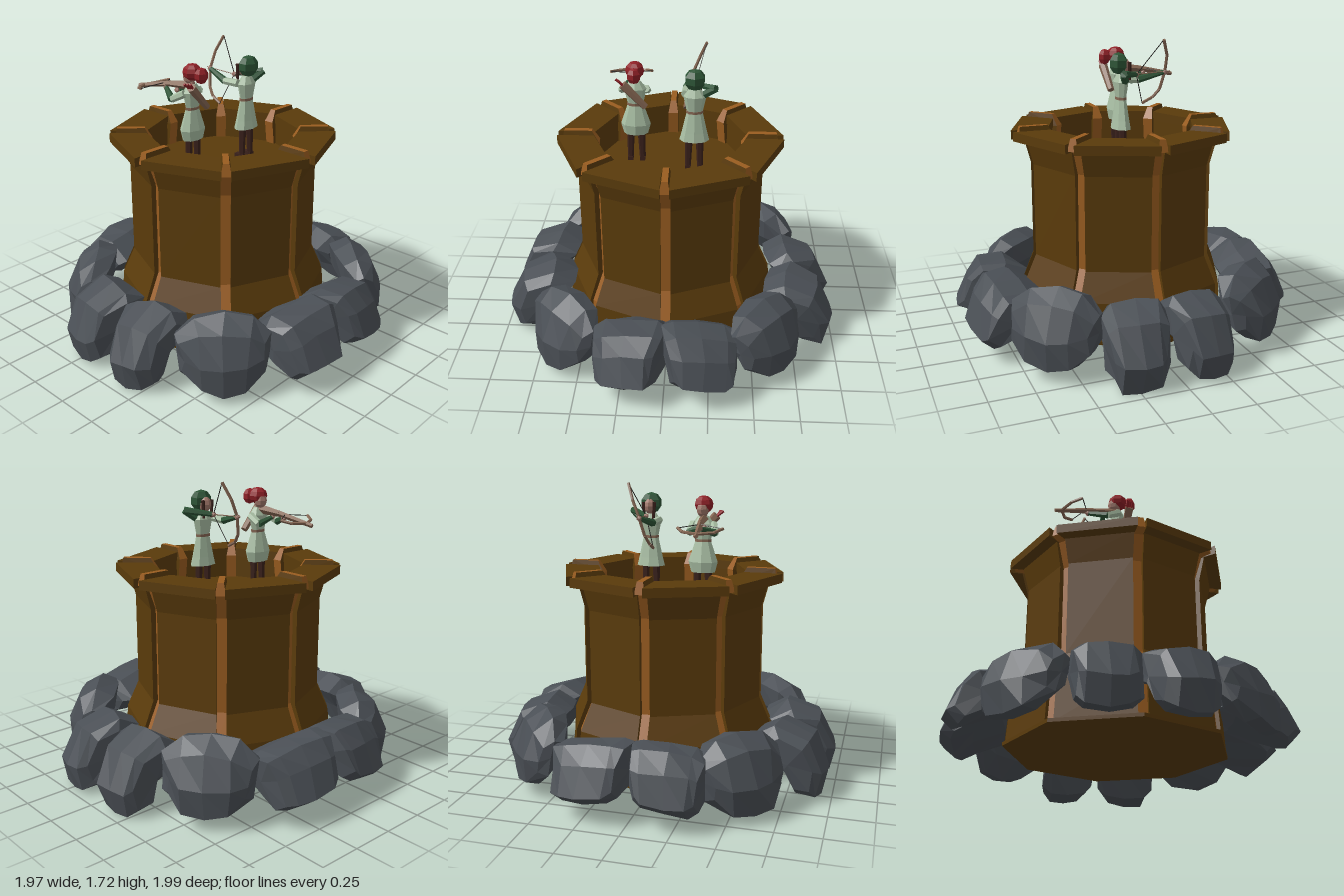
import * as THREE from 'three';

const mat = (name, color) => {
  const m = new THREE.MeshStandardMaterial({ color });
  m.name = name;
  return m;
};

export function createModel() {
  const M = {
    wall: mat('dark timber', 0x5a3b0b), post: mat('light timber', 0x9a5d20), rock: mat('slate', 0x4a4f55),
    red: mat('red hair', 0x8f2026), green: mat('forest green', 0x2d5436), pale: mat('pale cloth', 0xa9bfa4),
    leather: mat('dark leather', 0x3a211b), wood: mat('bow wood', 0x866753), skin: mat('skin', 0xa0776a),
    string: mat('string', 0x22201f),
  };
  const model = new THREE.Group();
  const V = (x, y, z) => new THREE.Vector3(x, y, z);

  // Faceted mesh
  const add = (parent, name, geo, material) => {
    const g = geo.index ? geo.toNonIndexed() : geo;
    g.computeVertexNormals();
    const mesh = new THREE.Mesh(g, material);
    mesh.name = name;
    parent.add(mesh);
    return mesh;
  };
  const group = (name) => {
    const g = new THREE.Group();
    g.name = name;
    model.add(g);
    return g;
  };
  // Radial outline (radius, height) with thickness set per point by a rule
  const radial = (outline, halfWidth) => {
    const s = new THREE.Shape(outline.map(([x, y]) => new THREE.Vector2(x, y)));
    const g = new THREE.ExtrudeGeometry(s, { depth: 1, bevelEnabled: false });
    const p = g.attributes.position;
    for (let i = 0; i < p.count; i++) {
      p.setZ(i, (p.getZ(i) > 0.5 ? 1 : -1) * halfWidth(p.getX(i), p.getY(i)));
    }
    return g;
  };
  // Tapered bar between two points
  const bar = (parent, name, a, b, ra, rb, material, sides = 6) => {
    const d = b.clone().sub(a);
    const g = new THREE.CylinderGeometry(rb, ra, d.length(), sides);
    g.applyQuaternion(new THREE.Quaternion().setFromUnitVectors(V(0, 1, 0), d.normalize()));
    g.translate(...a.clone().add(b).multiplyScalar(0.5).toArray());
    return add(parent, name, g, material);
  };
  const chain = (parent, name, pts, r, material, sides) => {
    for (let i = 1; i < pts.length; i++) bar(parent, name, pts[i - 1], pts[i], r, r, material, sides);
  };

  // Octagonal tower: base, sunken floor, thick wall panels, rim slabs and recessed corner posts
  const tower = group('tower');
  const disc = (name, r, y) => add(tower, name, new THREE.CylinderGeometry(r, r, 0.02, 8).translate(0, y, 0), M.wall);
  disc('base', 0.64, 0.1);
  disc('floor', 0.465, 1.03);
  const panel = [[0.42, 0.095], [0.59, 0.095], [0.575, 0.33], [0.51, 0.49], [0.51, 1.03], [0.547, 1.18], [0.42, 1.18]];
  const rim = [[0.415, 1.17], [0.613, 1.17], [0.613, 1.222], [0.415, 1.222]];
  const post = [[0.45, 0.1], [0.605, 0.1], [0.585, 0.33], [0.508, 0.49], [0.508, 1.03], [0.56, 1.17],
    [0.625, 1.18], [0.61, 1.248], [0.45, 1.248], [0.41, 1.18], [0.43, 1.02], [0.45, 1.0]];
  const inset = (gap) => (a) => a * Math.tan(Math.PI / 8) - gap;
  for (let i = 0; i < 8; i++) {
    const mid = (i + 0.5) * Math.PI / 4;
    add(tower, 'wallPanel', radial(panel, inset(0.03)).rotateY(mid), M.wall);
    add(tower, 'rimSlab', radial(rim, inset(0.027)).rotateY(mid), M.wall);
    const g = radial(post, (r, y) => (y > 1.24 ? 0.017 : 0.03)).rotateY(i * Math.PI / 4);
    add(tower, 'cornerPost', g, [M.wall, M.post]);
  }

  // Ring of leaning boulders, each a curved slab lofted sideways
  let seed = 7;
  const rnd = () => (seed = (seed * 16807) % 2147483647) / 2147483647 - 0.5;
  const kinds = {
    // Steep slabs at front and back
    slab: {
      pts: [[-0.2, 0.36], [-0.07, 0.43], [0.12, 0.365], [0.215, 0.17], [0.18, 0.02], [0.06, 0.04], [0, 0.2], [-0.14, 0.26]],
      stations: [[-1, 0.7], [-0.72, 0.94], [0, 1], [0.72, 0.94], [1, 0.7]],
    },
    // Raised slabs on the two sides
    arch: {
      pts: [[-0.23, 0.32], [-0.08, 0.415], [0.06, 0.415], [0.14, 0.32], [0.205, 0.17], [0.13, 0.11], [0.01, 0.17], [-0.16, 0.24]],
      stations: [[-1, 0.8], [-0.72, 0.96], [0, 1], [0.72, 0.96], [1, 0.8]],
    },
    // Pointed lumps at the diagonals
    lump: {
      pts: [[-0.14, 0.42], [-0.04, 0.46], [0.07, 0.39], [0.15, 0.22], [0.14, 0.06], [0.05, 0.05], [-0.05, 0.15], [-0.13, 0.28]],
      stations: [[-1, 0.48], [-0.6, 0.9], [0, 1.02], [0.6, 0.9], [1, 0.48]],
    },
  };
  const boulder = ({ pts, stations }, half, roll) => {
    const n = pts.length, pos = [], idx = [];
    const cr = pts.reduce((s, p) => s + p[0], 0) / n, cy = pts.reduce((s, p) => s + p[1], 0) / n;
    for (const [u, k] of stations) {
      for (const [r, y] of pts) {
        pos.push(cr + (r - cr) * k + rnd() * 0.02, cy + (y - cy) * k + u * half * roll + rnd() * 0.02,
          u * half * (1 - Math.max(0, r) * 1.1) + rnd() * 0.025);
      }
    }
    for (let s = 0; s < stations.length - 1; s++) {
      for (let j = 0; j < n; j++) {
        const a = s * n + j, b = s * n + (j + 1) % n;
        idx.push(a, a + n, b, b, a + n, b + n);
      }
    }
    // End caps
    const last = (stations.length - 1) * n, c = pos.length / 3;
    pos.push(cr, cy - half * roll, -half, cr, cy + half * roll, half);
    for (let j = 0; j < n; j++) {
      const k = (j + 1) % n;
      idx.push(c, j, k, c + 1, last + k, last + j);
    }
    const g = new THREE.BufferGeometry();
    g.setAttribute('position', new THREE.Float32BufferAttribute(pos, 3));
    g.setIndex(idx);
    return g;
  };
  const rocks = group('boulders');
  // kind, x, y, z, facing angle in degrees, half width, sideways roll
  const places = [
    ['slab', -0.145, -0.005, -0.78, 97, 0.17, 0.05], ['slab', 0.21, -0.005, -0.775, 80, 0.175, -0.05],
    ['slab', 0.15, 0, 0.765, -82, 0.175, 0], ['slab', -0.215, 0, 0.765, -97, 0.175, 0],
    ['arch', 0.77, 0, -0.2, 8, 0.205, 0.14], ['arch', 0.77, 0.005, 0.195, -8, 0.205, -0.1],
    ['arch', -0.77, 0, 0.195, 188, 0.205, 0.12], ['arch', -0.77, 0, -0.215, 172, 0.22, -0.12],
    ['lump', 0.59, 0.025, -0.575, 51, 0.25, 0], ['lump', -0.55, 0.025, -0.615, 127, 0.25, 0],
    ['lump', 0.55, 0, 0.58, -46, 0.25, 0], ['lump', -0.595, 0, 0.545, -136, 0.25, 0],
  ];
  for (const [kind, x, y, z, yaw, half, roll] of places) {
    const rock = add(rocks, 'boulder', boulder(kinds[kind], half, roll), M.rock);
    rock.position.set(x, y, z);
    rock.rotation.y = yaw * Math.PI / 180;
  }

  // Shared archer body, facing -x
  const archerBody = (name, x, z, hemY, hem, flare) => {
    const g = group(name);
    for (const s of [-1, 1]) {
      bar(g, 'leg', V(x, 1.04, z + s * 0.035), V(x, 1.27, z + s * 0.03), 0.016, 0.024, M.leather);
      add(g, 'boot', new THREE.BoxGeometry(0.06, 0.025, 0.03).translate(x - 0.014, 1.053, z + s * 0.035), M.leather);
    }
    const tube = (part, y0, y1, r0, r1, m) =>
      add(g, part, new THREE.CylinderGeometry(r1, r0, y1 - y0, 8).scale(0.64, 1, 1).translate(x, (y0 + y1) / 2, z), m);
    tube('robeHem', hemY, 1.275, hem, flare, M.pale);
    tube('robe', 1.275, 1.395, flare, 0.045, M.pale);
    tube('belt', 1.39, 1.405, 0.048, 0.048, M.wood);
    tube('tunic', 1.4, 1.49, 0.045, 0.064, M.pale);
    tube('shoulders', 1.49, 1.535, 0.064, 0.032, M.pale);
    bar(g, 'neck', V(x, 1.52, z), V(x - 0.005, 1.56, z), 0.018, 0.018, M.skin);
    add(g, 'head', new THREE.SphereGeometry(0.04, 8, 6).scale(1, 1.15, 0.9).translate(x - 0.018, 1.575, z), M.skin);
    return g;
  };
  const arm = (g, a, b, c, upper) => {
    bar(g, 'upperArm', a, b, 0.023, 0.021, upper);
    bar(g, 'forearm', b, c, 0.022, 0.013, M.green);
    add(g, 'hand', new THREE.IcosahedronGeometry(0.017).translate(c.x, c.y, c.z), M.skin);
  };

  // Hooded archer with a longbow
  const hooded = archerBody('hoodedArcher', 0.055, -0.14, 1.225, 0.085, 0.072);
  add(hooded, 'hood', new THREE.SphereGeometry(0.064, 6, 5).scale(0.85, 0.97, 1).translate(0.068, 1.592, -0.14), M.green);
  for (const s of [-1, 1]) {
    bar(hooded, 'hairLock', V(0.015, 1.6, -0.14 + s * 0.032), V(0.012, 1.5, -0.14 + s * 0.028), 0.012, 0.008, M.leather, 5);
  }
  const grip = V(-0.22, 1.53, -0.125), draw = V(-0.04, 1.525, -0.14);
  const top = V(-0.18, 1.72, -0.2), low = V(-0.1, 1.35, -0.08);
  arm(hooded, V(0.04, 1.495, -0.085), V(-0.07, 1.49, -0.09), grip, M.pale);
  arm(hooded, V(0.05, 1.5, -0.195), V(0.08, 1.545, -0.255), draw, M.green);
  chain(hooded, 'longbow', [top, V(-0.215, 1.63, -0.165), grip, V(-0.2, 1.43, -0.1), V(-0.16, 1.38, -0.085), low], 0.009, M.wood, 5);
  chain(hooded, 'bowString', [top, draw, low], 0.0025, M.string, 4);
  bar(hooded, 'arrow', draw, V(-0.25, 1.535, -0.13), 0.003, 0.003, M.wood, 4);

  // Red-haired archer with a crossbow
  const redhead = archerBody('redHairedArcher', -0.045, 0.2, 1.215, 0.07, 0.086);
  add(redhead, 'hair', new THREE.SphereGeometry(0.055, 7, 6).scale(1, 0.88, 1).translate(-0.042, 1.602, 0.2), M.red);
  add(redhead, 'hairBun', new THREE.SphereGeometry(0.042, 6, 5).scale(0.9, 1.1, 1).translate(0.028, 1.592, 0.2), M.red);
  for (const s of [-1, 1]) {
    arm(redhead, V(-0.045, 1.49, 0.2 + s * 0.06), V(-0.12, 1.45, 0.21 + s * 0.075), V(s > 0 ? -0.23 : -0.14, 1.485, 0.225), M.pale);
  }
  bar(redhead, 'quiver', V(0.01, 1.4, 0.14), V(0.015, 1.535, 0.265), 0.02, 0.027, M.wood);
  for (let i = -1; i <= 1; i++) {
    bar(redhead, 'arrowFletching', V(0.015 + i * 0.012, 1.52, 0.255), V(0.015 + i * 0.014, 1.56, 0.295 - i * 0.01), 0.006, 0.008, M.red, 4);
  }
  bar(redhead, 'crossbowStock', V(-0.04, 1.525, 0.205), V(-0.2, 1.51, 0.22), 0.028, 0.018, M.wood, 4);
  bar(redhead, 'crossbowRail', V(-0.2, 1.51, 0.22), V(-0.43, 1.465, 0.25), 0.018, 0.012, M.wood, 4);
  const tipA = V(-0.31, 1.495, 0.12), tipB = V(-0.285, 1.495, 0.365), nut = V(-0.24, 1.51, 0.228);
  chain(redhead, 'crossbowLimb', [tipA, V(-0.36, 1.48, 0.16), V(-0.39, 1.475, 0.245), V(-0.345, 1.48, 0.33), tipB], 0.009, M.wood, 5);
  chain(redhead, 'crossbowString', [tipA, nut, tipB], 0.0025, M.string, 4);

  return model;
}
